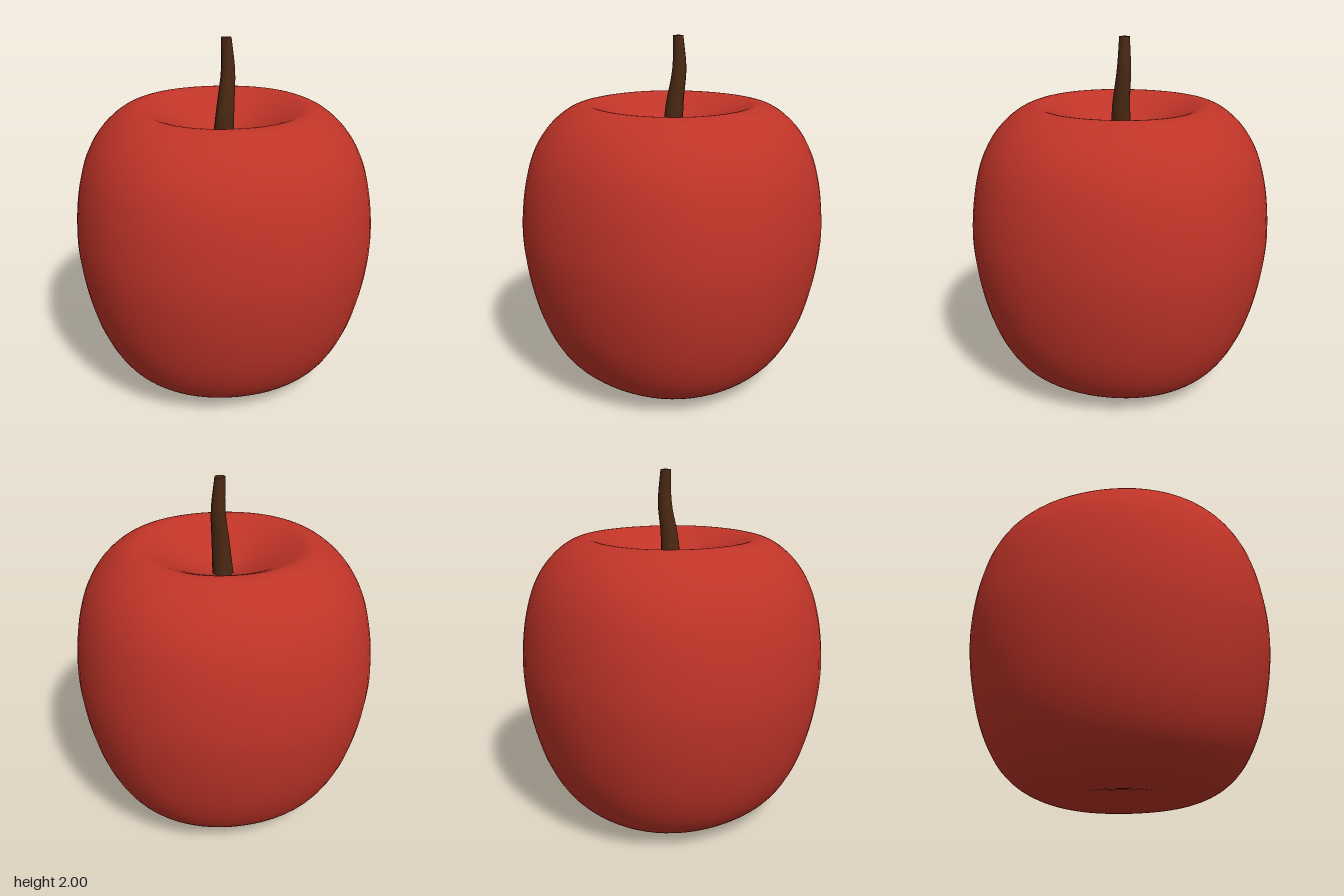
import * as THREE from 'three';
import { mergeVertices, toCreasedNormals } from 'three/addons/utils/BufferGeometryUtils.js';

// Smooth curve through a few [x, y, z] points
const spline = (pts) => new THREE.CatmullRomCurve3(pts.map(([x, y, z = 0]) => new THREE.Vector3(x, y, z)));

// Fruit: lathed profile from the bottom hollow to the stem hollow, slightly four-lobed
function fruitGeometry() {
  const profile = spline([
    [0, 0.06], [0.07, 0.045], [0.2, 0.02], [0.35, 0.001], [0.45, 0.02], [0.56, 0.07],
    [0.65, 0.145], [0.72, 0.245], [0.785, 0.39], [0.83, 0.55], [0.86, 0.72], [0.873, 0.9],
    [0.86, 1.08], [0.835, 1.22], [0.795, 1.35], [0.735, 1.46], [0.66, 1.545], [0.57, 1.608],
    [0.485, 1.631], [0.41, 1.608], [0.31, 1.56], [0.16, 1.49], [0, 1.43],
  ]);
  const points = profile.getPoints(88).map((p) => new THREE.Vector2(Math.max(p.x, 0), Math.max(p.y, 0)));
  const lathe = new THREE.LatheGeometry(points, 64);
  const pos = lathe.attributes.position;
  for (let i = 0; i < pos.count; i++) {
    const x = pos.getX(i), z = pos.getZ(i);
    const k = 1 + 0.012 * (Math.cos(4 * Math.atan2(z, x)) - 1);
    pos.setX(i, x * k);
    pos.setZ(i, z * k);
  }
  // weld the seam and poles so the shading is continuous
  lathe.deleteAttribute('uv');
  lathe.deleteAttribute('normal');
  const welded = mergeVertices(lathe, 1e-4);
  welded.computeVertexNormals();
  return welded;
}

// Stem: tapered cylinder whose rings follow a gentle bend
function stemGeometry() {
  const path = spline([[0, 1.43, 0], [0.012, 1.63, 0.008], [0.038, 1.82, 0.006], [0.031, 2, -0.002]]);
  const geometry = new THREE.CylinderGeometry(1, 1, 1, 12, 10);
  const pos = geometry.attributes.position;
  for (let i = 0; i < pos.count; i++) {
    const t = pos.getY(i) + 0.5;
    const c = path.getPoint(t);
    const r = 0.06 - 0.031 * t;
    pos.setXYZ(i, c.x + pos.getX(i) * r, c.y, c.z + pos.getZ(i) * r);
  }
  return toCreasedNormals(geometry, 0.8);
}

export function createModel() {
  const red = new THREE.MeshStandardMaterial({ color: 0xc03428 });
  red.name = 'apple red';
  const brown = new THREE.MeshStandardMaterial({ color: 0x4a2812 });
  brown.name = 'stem brown';

  const fruit = new THREE.Mesh(fruitGeometry(), red);
  fruit.name = 'fruit';
  const stem = new THREE.Mesh(stemGeometry(), brown);
  stem.name = 'stem';

  const apple = new THREE.Group();
  apple.name = 'apple';
  apple.add(fruit, stem);
  return apple;
}
